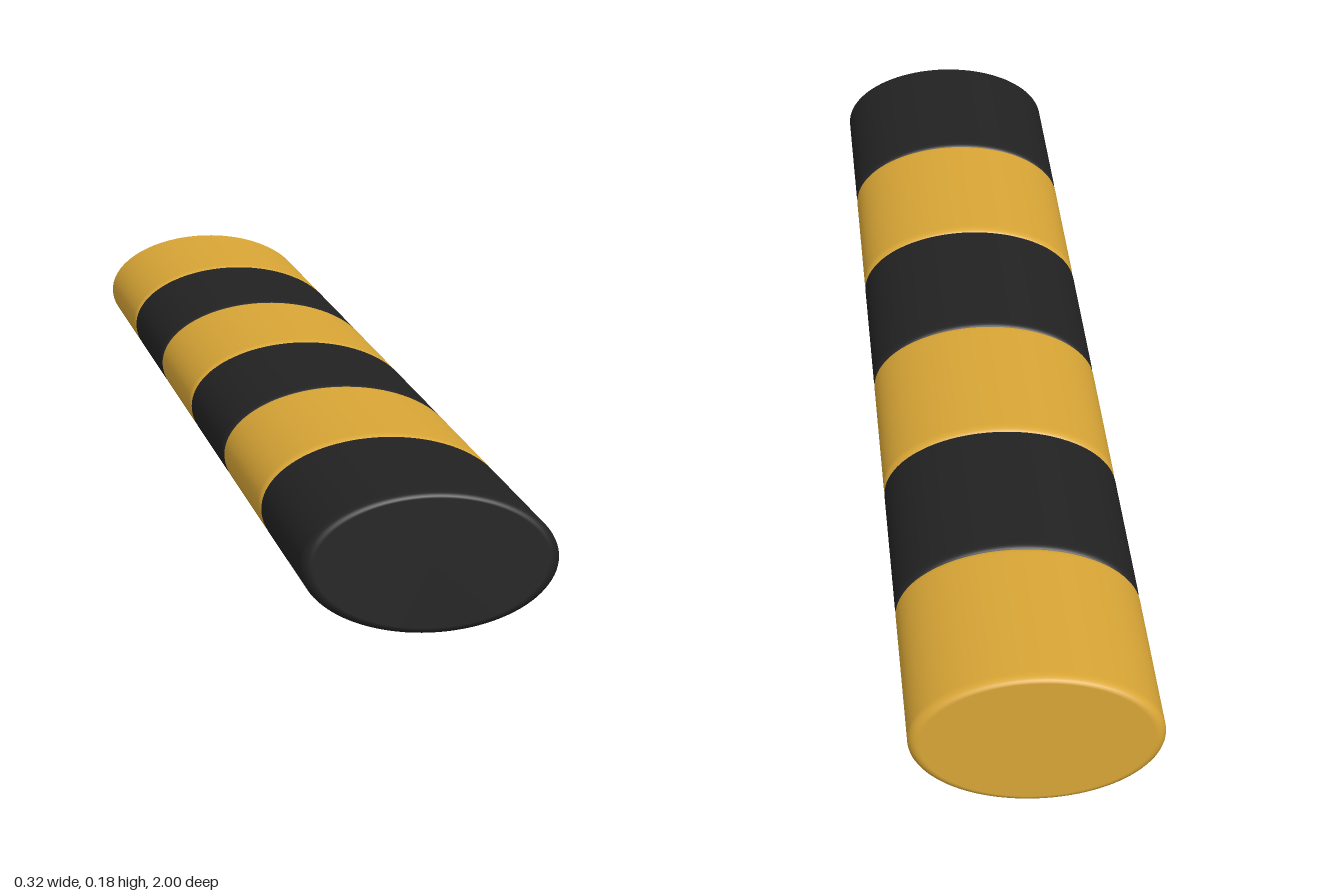
import * as THREE from 'three';

const HALF_WIDTH = 0.162, HALF_HEIGHT = 0.09;
const SEGMENTS = 6, LENGTH = 2 / SEGMENTS;

// One elliptical segment along z with softly rounded rims
function segmentGeometry() {
  const radial = 0.08, axial = 0.014, half = LENGTH / 2, steps = 6;
  const rim = [];
  for (let i = 0; i <= steps; i++) {
    const a = (i / steps) * Math.PI / 2;
    rim.push([1 - radial + radial * Math.sin(a), half - axial + axial * Math.cos(a)]);
  }
  // Extra points beside the rim keep the cap and the wall free of shading bleed
  const upper = [[0, half], [1 - radial - 0.01, half], ...rim, [1, half - axial - 0.004]];
  const lower = upper.map(([r, y]) => [r, -y]);
  const profile = [...lower, ...upper.reverse()].map(([r, y]) => new THREE.Vector2(r, y));
  const geometry = new THREE.LatheGeometry(profile, 96);
  geometry.scale(HALF_WIDTH, 1, HALF_HEIGHT);
  geometry.rotateX(Math.PI / 2);
  return geometry;
}

export function createModel() {
  const group = new THREE.Group();
  group.name = 'stripedBar';
  const black = new THREE.MeshStandardMaterial({ color: 0x222222 });
  black.name = 'black';
  const gold = new THREE.MeshStandardMaterial({ color: 0xd9a636 });
  gold.name = 'gold';

  // Alternating segments from the gold back end to the black front end
  const geometry = segmentGeometry();
  for (let i = 0; i < SEGMENTS; i++) {
    const isGold = i % 2 === 0;
    const mesh = new THREE.Mesh(geometry, isGold ? gold : black);
    mesh.name = (isGold ? 'goldSegment' : 'blackSegment') + (Math.floor(i / 2) + 1);
    mesh.position.set(0, HALF_HEIGHT, -1 + LENGTH * (i + 0.5));
    group.add(mesh);
  }
  return group;
}
